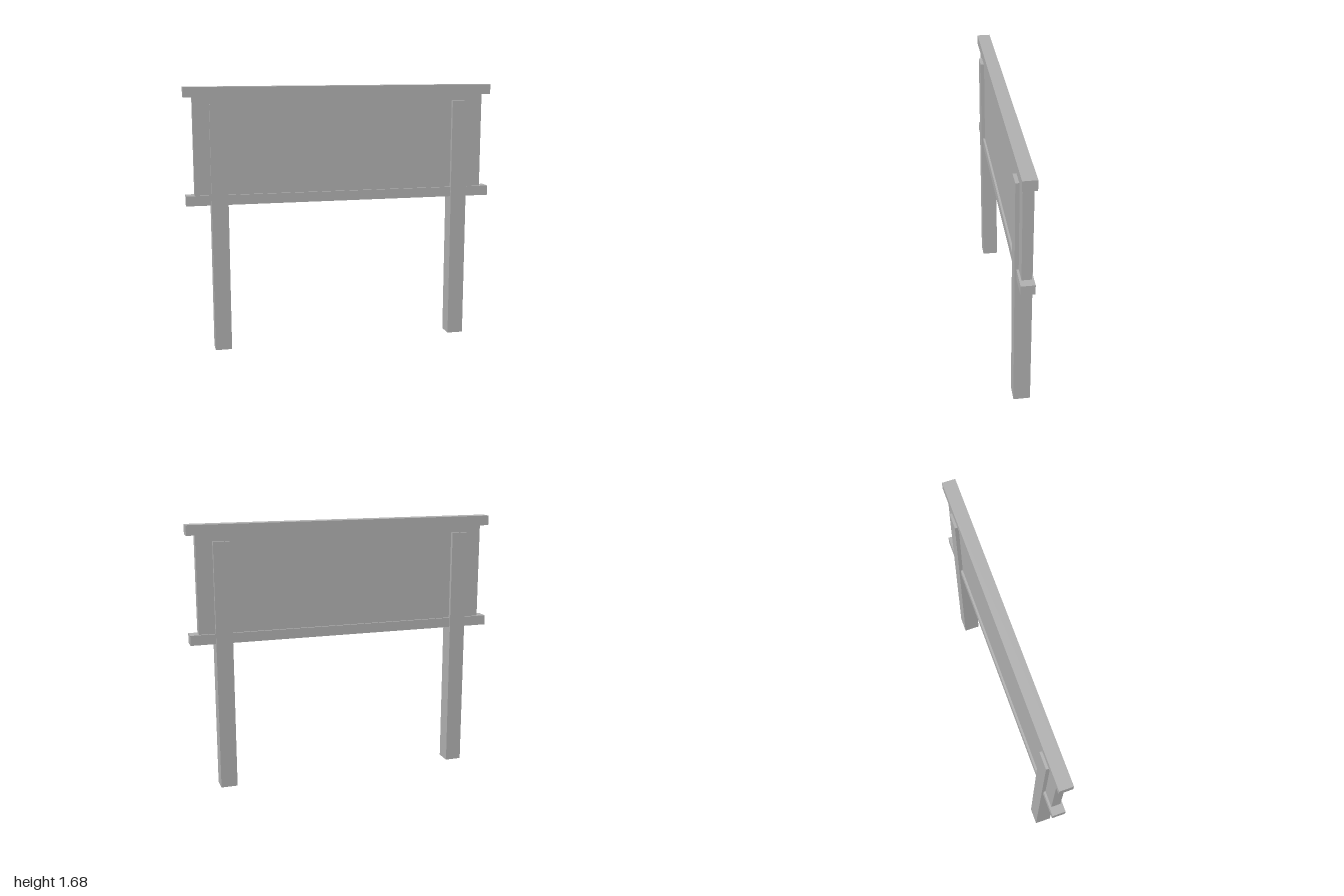
import * as THREE from 'three';

export function createModel() {
  const sign = new THREE.Group();
  sign.name = 'signBoard';
  const grey = new THREE.MeshStandardMaterial({ color: 0xb0b0b0 });
  grey.name = 'plain grey';

  // Box centred on z = 0, standing on the given base height
  const addBox = (name, width, height, depth, x, base) => {
    const mesh = new THREE.Mesh(new THREE.BoxGeometry(width, height, depth), grey);
    mesh.name = name;
    mesh.position.set(x, base + height / 2, 0);
    sign.add(mesh);
  };

  // Board between two overhanging rails
  addBox('panel', 1.89, 0.611, 0.058, 0, 1.01);
  addBox('bottomRail', 2, 0.063, 0.084, 0, 0.947);
  addBox('topRail', 2, 0.063, 0.084, 0, 1.621);

  // Square posts, thicker than the board, showing on both sides
  addBox('leftPost', 0.105, 1.579, 0.105, 0.79, 0);
  addBox('rightPost', 0.105, 1.579, 0.105, -0.79, 0);

  return sign;
}
